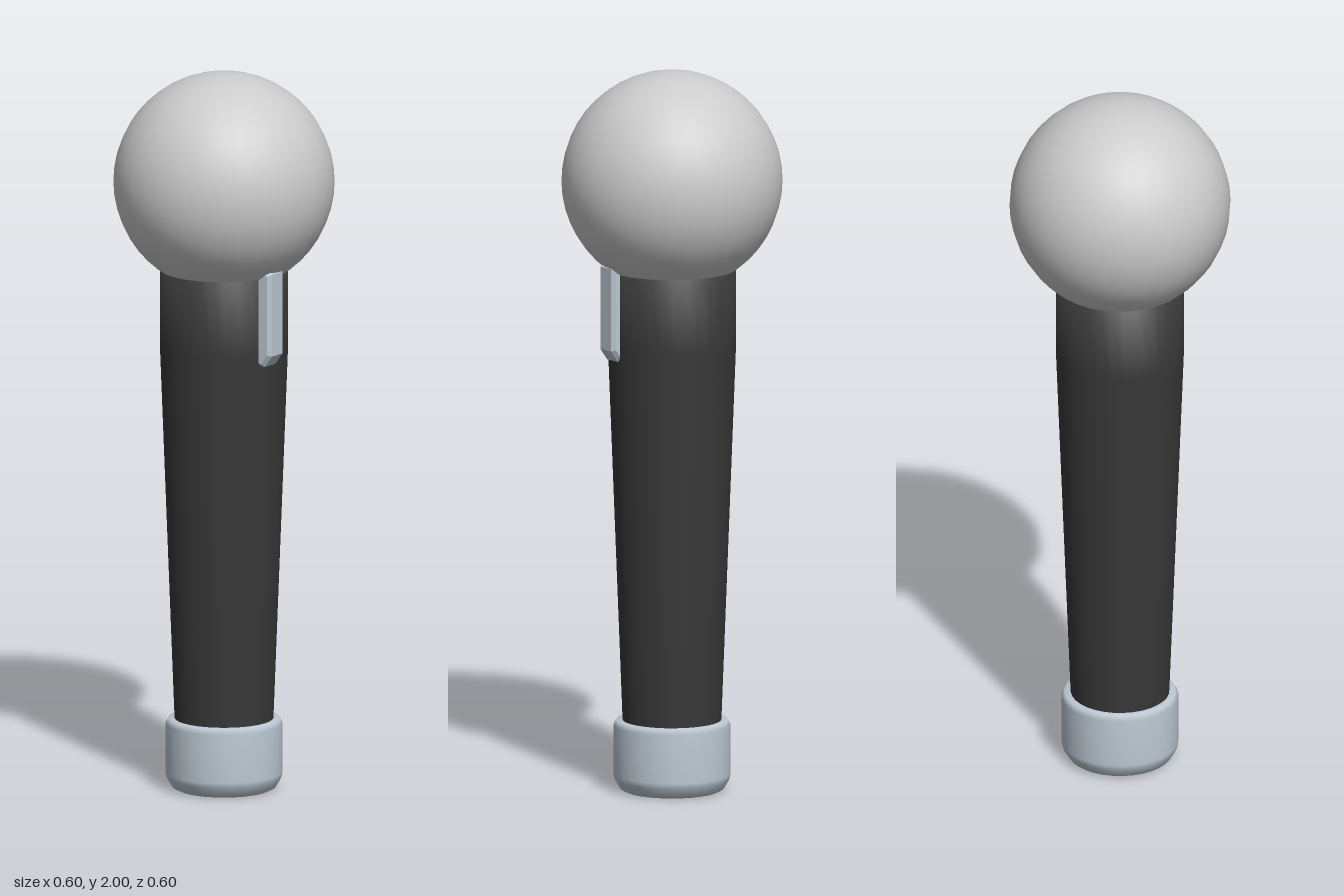
import * as THREE from 'three';

const v = (x, y) => new THREE.Vector2(x, y);

function part(name, geometry, color) {
  const mesh = new THREE.Mesh(geometry, new THREE.MeshStandardMaterial({ color }));
  mesh.name = name;
  return mesh;
}

export function createModel() {
  const model = new THREE.Group();
  model.name = 'microphone';

  // Round head
  const head = part('head', new THREE.SphereGeometry(0.302, 32, 24), 0xcccccc);
  head.position.y = 1.698;
  model.add(head);

  // Handle: straight collar, then a slow taper down into the end cap
  const handle = [v(0, 0.1), v(0.131, 0.1), v(0.135, 0.2), v(0.175, 1.24), v(0.175, 1.455), v(0, 1.455)];
  model.add(part('handle', new THREE.LatheGeometry(handle, 32), 0x383838));

  // End cap with softened rims
  const cap = [
    v(0, 0.004), v(0.13, 0.004), v(0.142, 0.01), v(0.157, 0.035),
    v(0.16, 0.05), v(0.16, 0.185), v(0.152, 0.2), v(0.13, 0.2),
  ];
  model.add(part('endCap', new THREE.LatheGeometry(cap, 32), 0xbcc8d2));

  // Sliding switch on the left side, bevelled at its edges
  const outline = new THREE.Shape([
    v(0.14, 1.22), v(0.17, 1.22), v(0.188, 1.245), v(0.188, 1.465), v(0.18, 1.47), v(0.14, 1.47),
  ]);
  const slider = new THREE.ExtrudeGeometry(outline, {
    depth: 0.05, bevelEnabled: true, bevelSize: 0.01, bevelThickness: 0.01,
    bevelOffset: 0, bevelSegments: 1,
  });
  slider.translate(0, 0, 0.01);
  model.add(part('switch', slider, 0xbcc8d2));

  return model;
}
